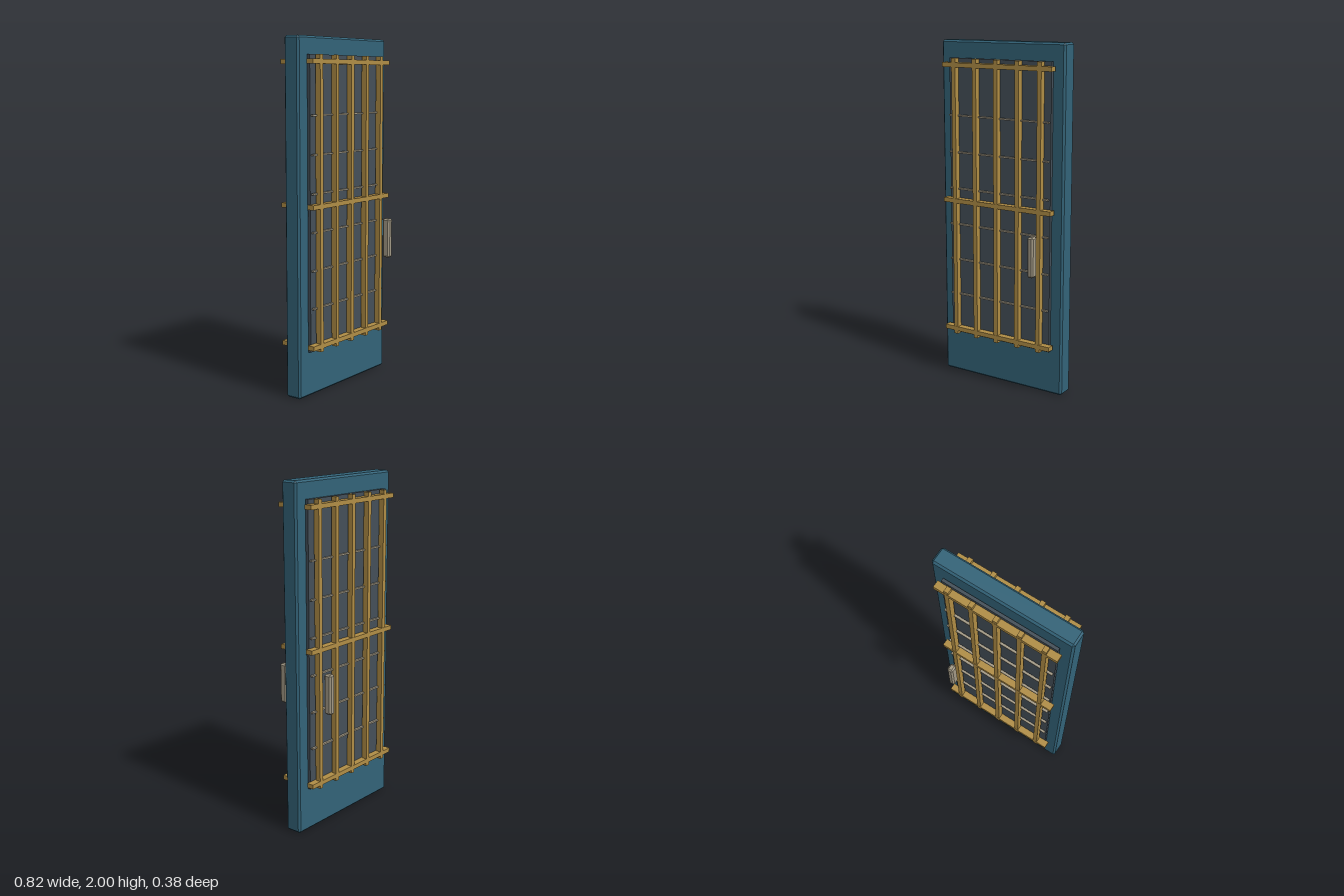
import * as THREE from 'three';
import { ConvexGeometry } from 'three/addons/geometries/ConvexGeometry.js';

const material = (color) => new THREE.MeshStandardMaterial({ color });

// Box with every edge cut by a single flat chamfer
function chamferBox(w, h, d, c) {
  const points = [];
  for (const x of [-1, 1]) for (const y of [-1, 1]) for (const z of [-1, 1]) {
    points.push(
      new THREE.Vector3(x * w / 2, y * (h / 2 - c), z * (d / 2 - c)),
      new THREE.Vector3(x * (w / 2 - c), y * h / 2, z * (d / 2 - c)),
      new THREE.Vector3(x * (w / 2 - c), y * (h / 2 - c), z * d / 2));
  }
  return new ConvexGeometry(points);
}

export function createModel() {
  const model = new THREE.Group();
  model.name = 'door';
  const teal = material(0x336378);
  const slate = material(0x444f58);
  const brass = material(0xb08d45);
  const metal = material(0xa39a86);

  function add(parent, name, geometry, mat, x, y, z) {
    const mesh = new THREE.Mesh(geometry, mat);
    mesh.name = name;
    mesh.position.set(x, y, z);
    parent.add(mesh);
  }

  // Door slab
  add(model, 'doorSlab', chamferBox(0.82, 2, 0.1, 0.011), teal, 0, 1, 0);

  const pane = new THREE.BoxGeometry(0.68, 1.64, 0.018);
  const verticalBar = new THREE.BoxGeometry(0.026, 1.64, 0.033);
  const rail = new THREE.BoxGeometry(0.726, 0.026, 0.042);
  const rod = new THREE.BoxGeometry(0.668, 0.009, 0.014);
  const handle = chamferBox(0.038, 0.232, 0.048, 0.009);

  // The same grille and handle on both faces
  for (const side of [1, -1]) {
    const face = new THREE.Group();
    face.name = side > 0 ? 'frontGrille' : 'backGrille';
    model.add(face);

    add(face, 'pane', pane, slate, 0, 1.08, side * 0.064);
    for (let i = -2; i <= 2; i++) {
      add(face, 'verticalBar', verticalBar, brass, i * 0.143, 1.08, side * 0.0955);
    }
    for (const y of [0.292, 1.078, 1.863]) {
      add(face, 'rail', rail, brass, 0, y, side * 0.092);
    }
    for (let i = 0; i < 6; i++) {
      add(face, 'thinRod', rod, metal, 0, 0.507 + i * 0.2135, side * 0.083);
    }
    add(face, 'handle', handle, metal, 0.279, 0.834, side * 0.164);
  }
  return model;
}
